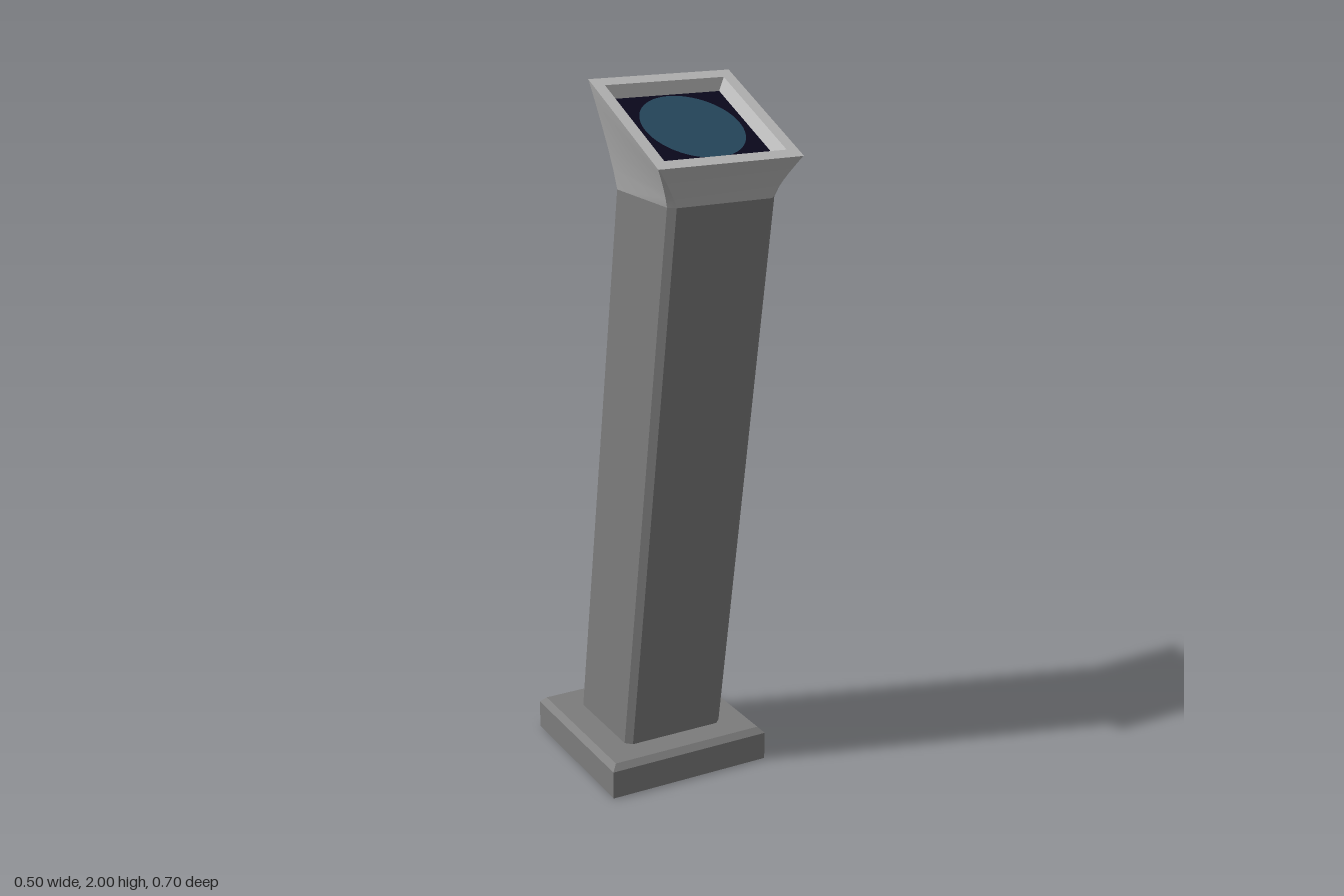
import * as THREE from 'three';

const body = new THREE.MeshStandardMaterial({ color: 0x7c7c7c });
body.name = 'dark grey metal';
const trim = new THREE.MeshStandardMaterial({ color: 0xb4b4b4 });
trim.name = 'light grey metal';
const dark = new THREE.MeshStandardMaterial({ color: 0x0a081c });
dark.name = 'dark panel';
const blue = new THREE.MeshStandardMaterial({ color: 0x25475c });
blue.name = 'blue glass';

// Slanted plane of the display rim
const SLOPE = 0.175 / 0.385;
const rimY = z => 1.825 + (0.35 - z) * SLOPE;

// Rectangle ring with corners cut by c, counter-clockwise from above; y is a function of z
function ring(hx, z0, z1, c, y) {
  const h = typeof y === 'function' ? y : () => y;
  const p = c > 0
    ? [[hx - c, z1], [hx, z1 - c], [hx, z0 + c], [hx - c, z0],
      [c - hx, z0], [-hx, z0 + c], [-hx, z1 - c], [c - hx, z1]]
    : [[hx, z1], [hx, z0], [-hx, z0], [-hx, z1]];
  return p.map(([x, z]) => new THREE.Vector3(x, h(z), z));
}

// Skin rings from bottom to top; each side is its own strip so its edges stay sharp
function loft(rings, capBottom = false, capTop = false) {
  const pos = [], index = [], n = rings[0].length;
  const add = v => pos.push(v.x, v.y, v.z) / 3 - 1;
  for (let i = 0; i < n; i++) {
    const rows = rings.map(r => [add(r[i]), add(r[(i + 1) % n])]);
    for (let k = 0; k + 1 < rows.length; k++) {
      const [a, b] = rows[k], [d, e] = rows[k + 1];
      index.push(a, b, e, a, e, d);
    }
  }
  const cap = r => {
    const s = r.map(add);
    for (let i = 1; i + 1 < n; i++) index.push(s[0], s[i], s[i + 1]);
  };
  if (capTop) cap(rings[rings.length - 1]);
  if (capBottom) cap([...rings[0]].reverse());
  const g = new THREE.BufferGeometry();
  g.setAttribute('position', new THREE.Float32BufferAttribute(pos, 3));
  g.setIndex(index);
  g.computeVertexNormals();
  return g;
}

export function createModel() {
  const model = new THREE.Group();
  model.name = 'displayPedestal';
  const add = (name, geometry, material) => {
    const m = new THREE.Mesh(geometry, material);
    m.name = name;
    model.add(m);
    return m;
  };

  // Square foot plate with bevelled top edge, split so the bevel stays crisp
  const foot = [ring(0.25, -0.35, 0.15, 0, 0), ring(0.25, -0.35, 0.15, 0, 0.083),
    ring(0.234, -0.334, 0.134, 0, 0.1)];
  add('footSides', loft(foot.slice(0, 2), true), body);
  add('footBevel', loft(foot.slice(1), false, true), body);

  // Leaning column with chamfered corners
  add('column', loft([ring(0.157, -0.256, 0.055, 0.018, 0.095),
    ring(0.157, 0.003, 0.314, 0.018, 1.717)]), body);

  // Flared head rising to the slanted rim
  const levels = [];
  for (let k = 0; k <= 5; k++) {
    const t = k / 5, f = Math.pow(t, 1.2);
    const lerp = (a, b) => a + (b - a) * f;
    levels.push(ring(lerp(0.157, 0.21), lerp(0.003, -0.035), lerp(0.314, 0.35),
      lerp(0.018, 0.002), z => {
        // match each point to its place on the rim
        const u = (z - lerp(0.003, -0.035)) / lerp(0.311, 0.385);
        return 1.717 + (rimY(-0.035 + u * 0.385) - 1.717) * t;
      }));
  }
  add('head', loft(levels), trim);

  // Flat rim and sloping recess walls
  const floorY = z => rimY(z) - 0.033;
  const outer = ring(0.21, -0.035, 0.35, 0, rimY);
  const opening = ring(0.177, -0.004, 0.319, 0, rimY);
  const floor = ring(0.16, 0.002, 0.288, 0, floorY);
  add('rim', loft([outer, opening]), trim);
  add('recessWalls', loft([opening, floor]), trim);

  // Recessed panel with round glass disc
  const lower = floor.map(v => v.clone().setY(v.y - 0.005));
  add('panel', loft([lower, floor], false, true), dark);
  const disc = add('glassDisc', new THREE.CircleGeometry(1, 64), blue);
  disc.scale.set(0.139, 0.146, 1);
  disc.position.set(0, floorY(0.145) + 0.003, 0.145);
  disc.rotation.x = Math.atan(SLOPE) - Math.PI / 2;

  return model;
}
